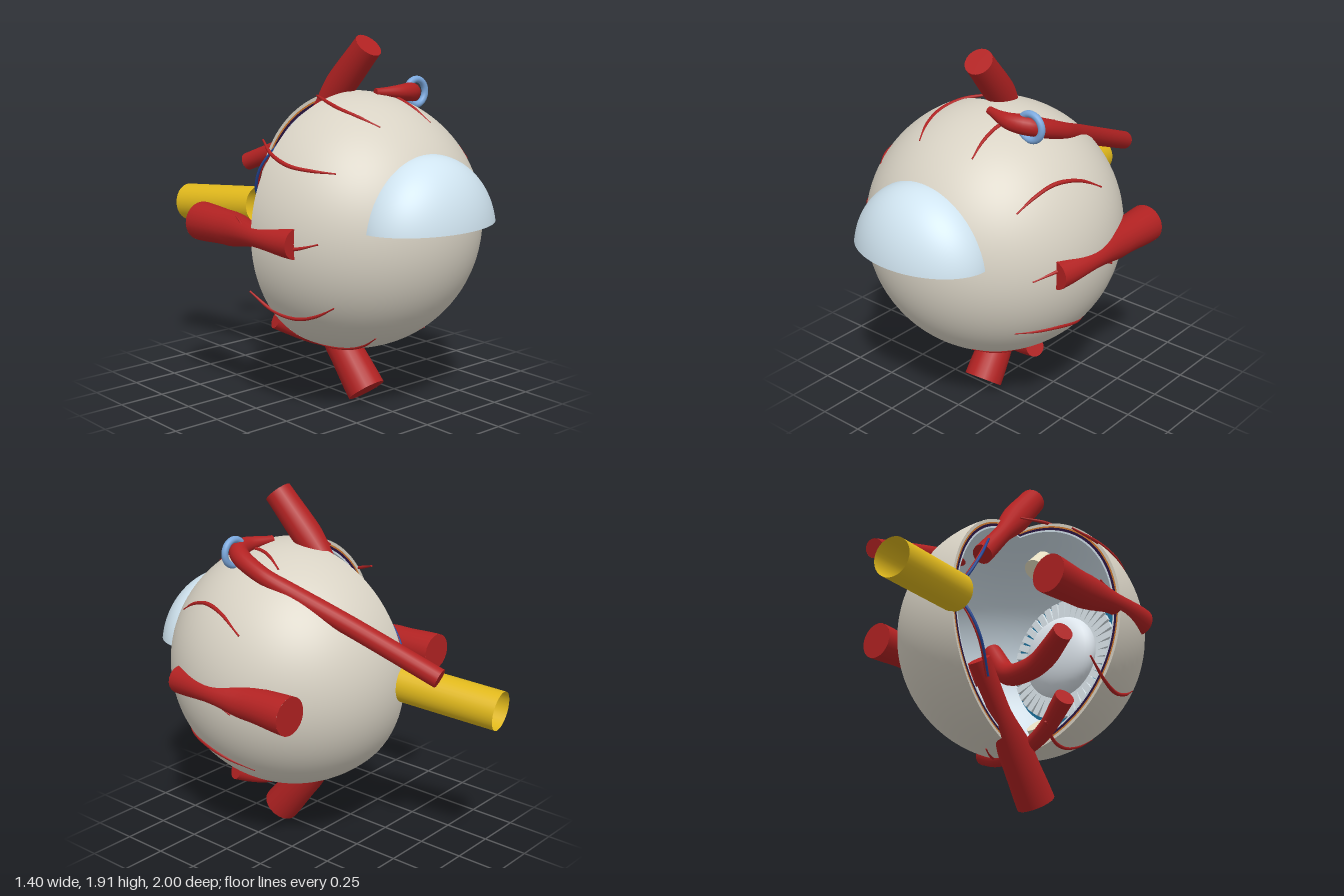
import * as THREE from 'three';

const V = (p) => new THREE.Vector3(...p);
const RED = 0xb22222, CENTER = [0, 0.97, 0.19], R = 0.665, CUT = 1.55 * Math.PI;

export function createModel() {
  const root = new THREE.Group();

  const add = (name, geometry, color, pos = [0, 0, 0], parent = root) => {
    const material = new THREE.MeshStandardMaterial({ color, side: THREE.DoubleSide });
    const mesh = new THREE.Mesh(geometry, material);
    mesh.name = name;
    mesh.position.set(...pos);
    parent.add(mesh);
    return mesh;
  };

  // Capped tube along a curve, with radii spread evenly along its length
  const strand = (name, points, radii, color = RED, segs = 40, sides = 20) => {
    const group = new THREE.Group();
    group.name = name;
    root.add(group);
    const path = new THREE.CatmullRomCurve3(points.map(V));
    const geo = new THREE.TubeGeometry(path, segs, 1, sides);
    const pos = geo.attributes.position;
    const v = new THREE.Vector3();
    const radiusAt = (t) => {
      const k = t * (radii.length - 1), i = Math.min(Math.floor(k), radii.length - 2);
      return THREE.MathUtils.lerp(radii[i], radii[i + 1], THREE.MathUtils.smoothstep(k - i, 0, 1));
    };
    for (let i = 0; i <= segs; i++) {
      const c = path.getPointAt(i / segs), r = radiusAt(i / segs);
      for (let j = 0; j <= sides; j++) {
        const n = i * (sides + 1) + j;
        v.fromBufferAttribute(pos, n).sub(c).multiplyScalar(r).add(c);
        pos.setXYZ(n, v.x, v.y, v.z);
      }
    }
    add(name + 'Body', geo, color, [0, 0, 0], group);
    for (const t of [0, 1]) {
      const p = path.getPointAt(t), d = path.getTangentAt(t).multiplyScalar(t ? 1 : -1);
      const cap = add(name + 'End', new THREE.CircleGeometry(radiusAt(t), sides), color, p.toArray(), group);
      cap.quaternion.setFromUnitVectors(new THREE.Vector3(0, 0, 1), d);
    }
    return group;
  };

  // Eyeball wall: nested shells with a wedge removed, and a rim on each cut
  const layers = [
    ['sclera', R, 0.648, 0xd8d2c4],
    ['choroid', 0.648, 0.639, 0xd07a30],
    ['vesselLayer', 0.639, 0.625, 0x2a1440],
    ['retina', 0.625, 0.615, 0xd3e2ec],
  ];
  for (const [name, outer, inner, color] of layers) {
    add(name, new THREE.SphereGeometry(outer, 72, 48, 0, CUT), color, CENTER);
    for (const angle of [0, CUT]) {
      const rim = new THREE.RingGeometry(inner, outer, 64, 1, Math.PI / 2, Math.PI);
      add(name + 'Rim', rim, color, CENTER).rotation.y = angle;
    }
  }

  // Cornea: upper part of a flattened dome
  const cornea = new THREE.SphereGeometry(0.4, 48, 24, 0, Math.PI, 0, 1.42);
  cornea.scale(1, 1, 0.7);
  add('cornea', cornea, 0xd0e4f0, [0, 0.97, 0.72]);

  // Iris, lens and the ring of fibres that holds it
  add('iris', new THREE.RingGeometry(0.12, 0.37, 48), 0x1b6f9c, [0, 0.97, 0.59]);
  const lens = new THREE.SphereGeometry(0.235, 40, 24);
  lens.scale(1, 1, 0.45);
  add('lens', lens, 0xdde5ec, [0, 0.97, 0.535]);
  const fibres = new THREE.Group();
  fibres.name = 'lensFibres';
  fibres.position.set(0, 0.97, 0.56);
  root.add(fibres);
  for (let i = 0; i < 40; i++) {
    const a = (i / 40) * Math.PI * 2;
    const fibre = add('fibre', new THREE.BoxGeometry(0.12, 0.038, 0.02), 0xdfeaf0,
      [0.29 * Math.cos(a), 0.29 * Math.sin(a), 0], fibres);
    fibre.rotation.z = a;
  }
  // Ciliary bodies above and below
  for (const s of [1, -1]) {
    const body = add('ciliaryBody', new THREE.CylinderGeometry(0.06, 0.06, 0.13, 24), 0xe8e0c4,
      [0, 0.97 + s * 0.51, 0.36]);
    body.rotation.x = s > 0 ? Math.PI / 4 : -Math.PI / 4;
  }

  // Side muscles, narrowed at the waist
  for (const s of [1, -1]) {
    strand(s > 0 ? 'leftSideMuscle' : 'rightSideMuscle',
      [[s * 0.6, 0.97, 0.45], [s * 0.63, 0.97, 0.2], [s * 0.605, 0.967, -0.05], [s * 0.6, 0.965, -0.31]],
      [0.075, 0.056, 0.088, 0.1]);
  }
  // Upper and lower muscles, passing through the wall
  strand('upperMuscle', [[0, 1.87, 0.3], [-0.02, 1.7, 0.15], [-0.05, 1.48, -0.04], [-0.07, 1.3, -0.2]],
    [0.074, 0.08, 0.05, 0.055]);
  strand('lowerMuscle', [[0, 0.07, 0.3], [-0.015, 0.26, 0.15], [-0.035, 0.5, -0.04], [-0.05, 0.7, -0.2]],
    [0.102, 0.092, 0.055, 0.06]);
  // Oblique muscles
  strand('upperObliqueMuscle', [
    [0.09, 1.14, -0.82], [0.2, 1.32, -0.4], [0.3, 1.46, -0.08], [0.35, 1.54, 0.1],
    [0.32, 1.61, 0.28], [0.22, 1.625, 0.33], [0.06, 1.63, 0.29],
  ], [0.05, 0.05, 0.05, 0.05, 0.045, 0.05, 0.022], RED, 70);
  strand('lowerObliqueMuscle', [
    [-0.4, 0.48, 0.05], [-0.2, 0.37, 0.13], [0, 0.325, 0.19], [0.2, 0.34, 0.24], [0.36, 0.41, 0.3],
  ], [0.052, 0.045, 0.04, 0.04, 0.05]);
  // Inner curved muscle seen through the opening
  strand('innerMuscle', [
    [-0.4, 0.84, 0.05], [-0.2, 0.77, 0.13], [-0.08, 0.755, 0.16], [0.1, 0.79, 0.2], [0.25, 0.97, 0.24],
  ], [0.055, 0.062, 0.06, 0.06, 0.055]);

  // Pulley ring
  add('pulleyRing', new THREE.TorusGeometry(0.066, 0.018, 16, 40), 0x7aa7dc, [0.33, 1.615, 0.305]);

  // Optic nerve: open tube
  const nervePath = new THREE.LineCurve3(V([-0.12, 0.965, -0.45]), V([-0.21, 0.92, -0.985]));
  add('opticNerve', new THREE.TubeGeometry(nervePath, 1, 0.102, 32), 0xe0b81c);

  // Thin artery and vein branching from the nerve
  for (const s of [1, -1]) {
    [['artery', RED, 0], ['vein', 0x24489a, 0.012]].forEach(([name, color, d]) => {
      strand(name, [
        [-0.1, 0.97, -0.45], [-0.155 - d, 0.97 + s * 0.1, -0.41],
        [-0.175 - d, 0.97 + s * 0.23, -0.34], [-0.12 - d, 0.97 + s * 0.39, -0.22],
      ], [0.009, 0.008, 0.006], color, 24, 8);
    });
  }

  // Surface vessels spaced around the eyeball
  for (let i = 0; i < 10; i++) {
    const base = (i / 10) * 360;
    const points = [[0.56, -1], [0.46, 2], [0.34, 3], [0.2, 0], [0.05, -7]].map(([z, turn]) => {
      const a = THREE.MathUtils.degToRad(base + turn);
      const r = Math.sqrt(R * R - (z - CENTER[2]) ** 2);
      return [r * Math.cos(a), CENTER[1] + r * Math.sin(a), z];
    });
    strand('surfaceVessel', points, [0.004, 0.009, 0.011, 0.009, 0.005], RED, 24, 8);
  }

  return root;
}
